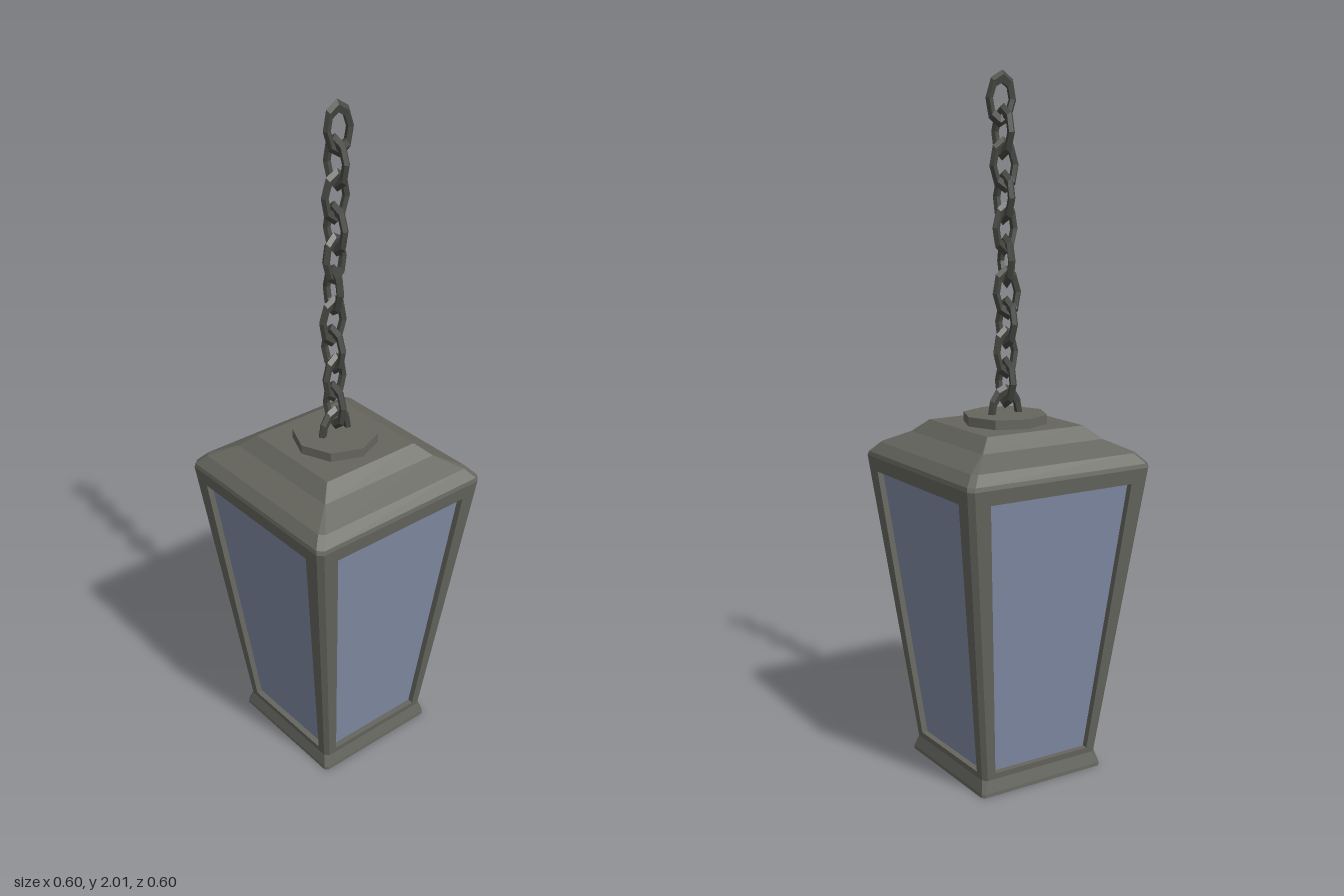
import * as THREE from 'three';

// Non-indexed geometry from four-cornered faces (counter-clockwise from outside)
function quadGeometry(quads) {
  const pos = [];
  for (const [a, b, c, d] of quads) pos.push(...a, ...b, ...c, ...a, ...c, ...d);
  const g = new THREE.BufferGeometry();
  g.setAttribute('position', new THREE.Float32BufferAttribute(pos, 3));
  g.computeVertexNormals();
  return g;
}

// Square ring with chamfered corners: half-width h, height y, chamfer c
function ring([h, y, c]) {
  const k = h - c;
  return [[-k, h], [k, h], [h, k], [h, -k], [k, -h], [-k, -h], [-h, -k], [-h, k]]
    .map(([x, z]) => [x, y, z]);
}

// Closed loft through a list of rings
function loft(profile) {
  const rings = profile.map(ring);
  const quads = [];
  for (let r = 0; r < rings.length - 1; r++) {
    for (let i = 0; i < 8; i++) {
      const j = (i + 1) % 8;
      quads.push([rings[r][i], rings[r][j], rings[r + 1][j], rings[r + 1][i]]);
    }
  }
  const b = rings[0], t = rings[rings.length - 1];
  for (let i = 1; i < 6; i += 2) {
    const n = (i + 2) % 8;
    quads.push([t[0], t[i], t[i + 1], t[n]]);
    quads.push([b[n], b[i + 1], b[i], b[0]]);
  }
  return quadGeometry(quads);
}

export function createModel() {
  const model = new THREE.Group();
  model.name = 'hangingLantern';

  const material = (name, color, flatShading = true) => {
    const m = new THREE.MeshStandardMaterial({ color, flatShading });
    m.name = name;
    return m;
  };
  const metal = material('frame metal', 0x66665f);
  const glass = material('blue grey glass', 0x828ca5);
  const iron = material('dark chain iron', 0x464642);

  const add = (name, geometry, mat, parent = model) => {
    const mesh = new THREE.Mesh(geometry, mat);
    mesh.name = name;
    parent.add(mesh);
    return mesh;
  };

  // Flared base and stepped roof
  add('base', loft([[0.205, 0, 0.008], [0.204, 0.01, 0.008], [0.195, 0.045, 0.012]]), metal);
  add('roof', loft([
    [0.3, 0.915, 0.015], [0.297, 0.927, 0.016], [0.271, 0.955, 0.014],
    [0.2, 0.99, 0.002], [0.16, 1.027, 0.001],
  ]), metal);

  // Tapered sides: frame around a recessed pane, plus one chamfered corner each
  const y0 = 0.045, y1 = 0.915, w0 = 0.195, w1 = 0.3, c0 = 0.012, c1 = 0.015;
  const depth = (y) => w0 + (w1 - w0) * (y - y0) / (y1 - y0);
  const trapezoid = (yb, hb, yt, ht, inset) =>
    [[-hb, yb], [hb, yb], [ht, yt], [-ht, yt]].map(([x, y]) => [x, y, depth(y) - inset]);
  const outer = trapezoid(y0, w0 - c0, y1, w1 - c1, 0);
  const opening = trapezoid(0.063, 0.159, 0.873, 0.233, 0);
  const recess = trapezoid(0.063, 0.159, 0.873, 0.233, 0.018);
  const frameQuads = [
    [[w0 - c0, y0, w0], [w0, y0, w0 - c0], [w1, y1, w1 - c1], [w1 - c1, y1, w1]],
  ];
  for (let i = 0; i < 4; i++) {
    const j = (i + 1) % 4;
    frameQuads.push([outer[i], outer[j], opening[j], opening[i]]);
    frameQuads.push([opening[i], opening[j], recess[j], recess[i]]);
  }
  const frameGeometry = quadGeometry(frameQuads);
  const paneGeometry = quadGeometry([recess]);
  ['front', 'left', 'back', 'right'].forEach((name, i) => {
    const side = new THREE.Group();
    side.name = name + 'Side';
    side.rotation.y = i * Math.PI / 2;
    add(name + 'Frame', frameGeometry, metal, side);
    add(name + 'Pane', paneGeometry, glass, side);
    model.add(side);
  });

  // Octagonal mount and its half-ring loop
  add('mountDisc', new THREE.CylinderGeometry(0.123, 0.123, 0.028, 8), metal)
    .position.y = 1.04;
  const loop = add('mountLoop', new THREE.TorusGeometry(0.047, 0.012, 5, 6, Math.PI), iron);
  loop.scale.y = 1.5;
  loop.rotation.y = Math.PI / 2;
  loop.position.y = 1.05;

  // Chain: links alternate direction and drift slightly; [x, y, z, yaw, lean]
  const linkGeometry = new THREE.TorusGeometry(0.034, 0.011, 5, 8);
  linkGeometry.scale(1, 1.72, 1);
  const chain = new THREE.Group();
  chain.name = 'chain';
  model.add(chain);
  const q = Math.PI / 2;
  [
    [0.003, 1.143, 0.004, 0.1, 0.06],
    [0, 1.23, 0.002, q + 0.12, -0.05],
    [-0.007, 1.315, 0, 0.15, 0.05],
    [-0.009, 1.4, 0, q - 0.1, -0.06],
    [-0.012, 1.49, -0.004, -0.12, -0.05],
    [-0.012, 1.58, -0.008, q + 0.15, 0.05],
    [-0.01, 1.665, -0.01, 0.1, 0.06],
    [-0.013, 1.753, -0.012, q - 0.12, -0.05],
    [-0.017, 1.842, -0.018, 0.15, 0.05],
    [-0.017, 1.93, -0.025, q - 0.2, 0.06],
  ].forEach(([x, y, z, yaw, lean], i) => {
    const link = add('chainLink' + (i + 1), linkGeometry, iron, chain);
    link.position.set(x, y, z);
    link.rotation.set(0, yaw, lean);
  });

  return model;
}
